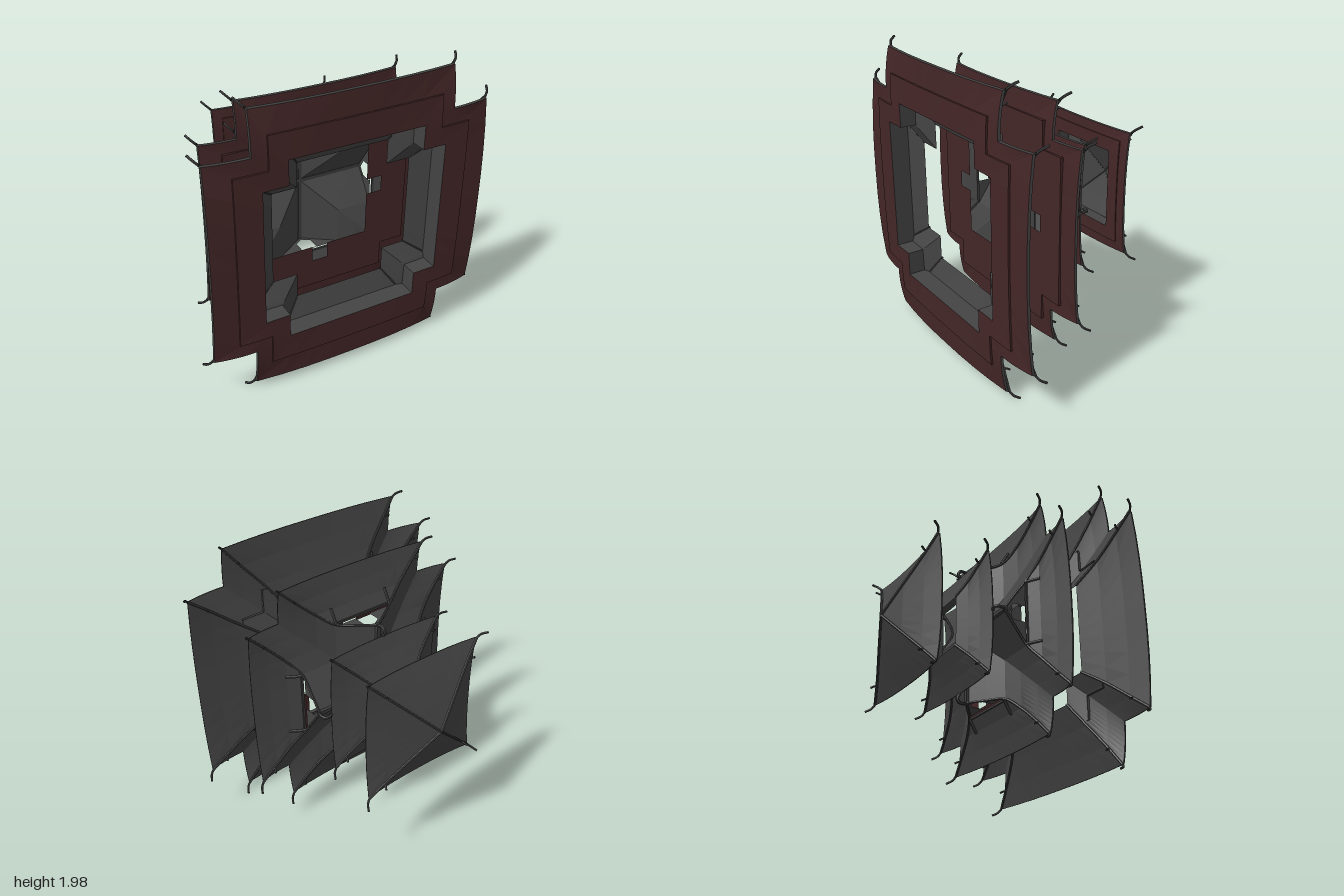
import * as THREE from 'three';

const mat = (name, color) => new THREE.MeshStandardMaterial({ name, color, side: THREE.DoubleSide, flatShading: true });
const P = (x, y, h) => new THREE.Vector3(x, y, -h); // roofs rise towards -z
const SEG = 8;

// Corners of a cross plan (arm length a, half width b) or of a square (a === b)
function corners(a, b, square) {
  const list = [];
  for (let k = 0; k < 4; k++) {
    const base = square ? [[a, a, 1]] : [[a, -b, 1], [a, b, 1], [b, b, 0]];
    for (const [x, y, convex] of base) {
      const c = [1, 0, -1, 0][k], s = [0, 1, 0, -1][k];
      list.push({ x: x * c - y * s, y: x * s + y * c, convex });
    }
  }
  return list;
}

// One ring of points whose outer corners sweep upwards by "lift"
function ring({ a, b, h, lift = 0 }, square) {
  const cs = corners(a, b, square), pts = [];
  cs.forEach((c, i) => {
    const d = cs[(i + 1) % cs.length];
    for (let j = 0; j < SEG; j++) {
      const t = j / SEG;
      let k = Math.abs(2 * t - 1) ** 2.5;
      if (!c.convex) k = t * t;
      else if (!d.convex) k = (1 - t) ** 2;
      const p = P(c.x + (d.x - c.x) * t, c.y + (d.y - c.y) * t, h + lift * k);
      p.gable = c.convex && d.convex;
      pts.push(p);
    }
  });
  return pts;
}

// Sheet joining successive rings; gable ends may be left open
function loft(defs, square) {
  const rings = defs.map(d => ring(d, square)), pos = [];
  for (let r = 0; r + 1 < rings.length; r++) {
    const A = rings[r], B = rings[r + 1], n = A.length;
    for (let i = 0; i < n; i++) {
      if (defs[r + 1].open && A[i].gable) continue;
      const j = (i + 1) % n;
      for (const p of [A[i], A[j], B[j], A[i], B[j], B[i]]) pos.push(p.x, p.y, p.z);
    }
  }
  const g = new THREE.BufferGeometry();
  g.setAttribute('position', new THREE.Float32BufferAttribute(pos, 3));
  g.computeVertexNormals();
  return g;
}

const R = (a, b, h, lift, open) => ({ a, b, h, lift, open });

export function createModel() {
  const model = new THREE.Group();
  model.name = 'tieredRoofs';
  const body = new THREE.Group();
  body.name = 'roofStack';
  body.position.y = 1;
  model.add(body);

  const tile = mat('roof grey', 0x444444);
  const trim = mat('ridge grey', 0x3e3e3e);
  const red = mat('soffit red', 0x442627);

  const add = (parent, name, geo, m) => {
    const mesh = new THREE.Mesh(geo, m);
    mesh.name = name;
    parent.add(mesh);
    return mesh;
  };
  const tube = (parent, name, pts, r) =>
    add(parent, name, new THREE.TubeGeometry(new THREE.CatmullRomCurve3(pts), 20, r, 6), trim);

  // Roof sheet, eave edge, soffit, hip ridges with upturned tips
  function tier(name, roof, soffit, square) {
    const g = new THREE.Group();
    g.name = name;
    body.add(g);
    add(g, 'roofSheet', loft(roof, square), tile);
    add(g, 'eaveEdge', loft([roof[0], soffit[0]], square), trim);
    add(g, 'soffit', loft(soffit, square), red);
    corners(1, 0.7, square).forEach((c, i) => {
      if (!c.convex) return;
      const hip = roof.map(d => {
        const q = corners(d.a, d.b, square)[i];
        return P(q.x, q.y, d.h + (d.lift || 0) + 0.006);
      });
      const sx = Math.sign(hip[0].x), sy = Math.sign(hip[0].y);
      const tip = (p, o, h) => P(p.x + sx * o, p.y + sy * o, -p.z + h);
      tube(g, 'hipRidge', hip, 0.009);
      tube(g, 'cornerTip', [hip[0], tip(hip[0], 0.022, 0.014), tip(hip[0], 0.043, 0.05)], 0.008);
      // small hook part of the way up the hip
      const m = hip[0].clone().lerp(hip[1], 0.8);
      tube(g, 'hipHook', [m, tip(m, 0.006, 0.018), tip(m, 0.016, 0.036)], 0.007);
    });
    return g;
  }

  // Lowest roof: cross plan with an open top
  const low = tier('lowestRoof',
    [R(0.94, 0.67, -0.645, 0.035), R(0.8, 0.56, -0.61, 0.02), R(0.64, 0.43, -0.56, 0.005), R(0.475, 0.31, -0.5)],
    [R(0.935, 0.665, -0.66, 0.035), R(0.78, 0.57, -0.665, 0.01), R(0.78, 0.57, -0.677, 0.01), R(0.61, 0.45, -0.677)]);
  add(low, 'innerWall', loft([R(0.61, 0.45, -0.677), R(0.61, 0.45, -0.55)]), tile);

  // Second roof: crossing gables above a flared skirt
  const mid = tier('gabledRoof',
    [R(0.79, 0.56, -0.205, 0.03), R(0.68, 0.45, -0.175, 0.015), R(0.57, 0.33, -0.135), R(0.485, 0.22, -0.09),
      R(0.475, 0.11, -0.015, 0, true), R(0.47, 0.0, 0.06, 0, true)],
    [R(0.785, 0.555, -0.218, 0.03), R(0.655, 0.48, -0.222, 0.01), R(0.655, 0.48, -0.232)]);
  const ceiling = new THREE.Shape(corners(0.655, 0.48).map(c => new THREE.Vector2(c.x, c.y)));
  const opening = [];
  for (let k = 0; k < 4; k++)
    for (const [x, y] of [[0.35, -0.055], [0.46, -0.055], [0.46, 0.055], [0.35, 0.055], [0.35, 0.35]])
      opening.push(new THREE.Vector2(x, y).rotateAround(new THREE.Vector2(), k * Math.PI / 2));
  ceiling.holes.push(new THREE.Path(opening));
  add(mid, 'ceiling', new THREE.ShapeGeometry(ceiling), red).position.z = 0.232;

  const V = (x, y) => new THREE.Vector2(x, y);
  const wall = new THREE.Shape([V(-0.22, -0.095), V(0.22, -0.095), V(0, 0.055)]);
  wall.holes.push(new THREE.Path([V(-0.055, -0.09), V(0.055, -0.09), V(0.055, -0.005), V(0, 0.03), V(-0.055, -0.005)]));
  const wallGeo = new THREE.ShapeGeometry(wall);
  const wp = wallGeo.attributes.position;
  for (let i = 0; i < wp.count; i++) wp.setXYZ(i, 0.465, wp.getX(i), -wp.getY(i));
  wallGeo.computeVertexNormals();

  for (let k = 0; k < 4; k++) {
    const arm = new THREE.Group();
    arm.name = 'gableArm';
    arm.rotation.z = k * Math.PI / 2;
    mid.add(arm);
    add(arm, 'gableWall', wallGeo, tile);
    add(arm, 'mainRidge', new THREE.BoxGeometry(0.48, 0.025, 0.025), trim).position.set(0.24, 0, -0.06);
    add(arm, 'gableSill', new THREE.BoxGeometry(0.015, 0.44, 0.012), trim).position.set(0.487, 0, 0.092);
    // curled ornament at the ridge end
    tube(arm, 'ridgeEnd', [P(0.468, 0, 0.05), P(0.478, 0, 0.09), P(0.472, 0, 0.122), P(0.445, 0, 0.13), P(0.42, 0, 0.115)], 0.011);
    for (const s of [-1, 1])
      tube(arm, 'rakeStub', [P(0.487, s * 0.215, -0.08), P(0.53, s * 0.215, -0.105), P(0.58, s * 0.215, -0.135)], 0.01);
  }

  // Third roof: square with an open top
  const S = (a, h, lift) => R(a, a, h, lift);
  const third = tier('thirdRoof',
    [S(0.42, 0.12, 0.025), S(0.33, 0.158, 0.012), S(0.25, 0.198), S(0.17, 0.24)],
    [S(0.415, 0.11, 0.025), S(0.35, 0.108, 0.01), S(0.35, 0.102, 0.01), S(0.26, 0.102)], true);
  add(third, 'innerWall', loft([S(0.26, 0.102), S(0.26, 0.19)], true), tile);

  // Top roof: pyramid with a hollow sweep
  const top = tier('topRoof',
    [S(0.43, 0.48, 0.025), S(0.31, 0.54, 0.008), S(0.16, 0.61), S(0.002, 0.675)],
    [S(0.425, 0.47, 0.025), S(0.36, 0.468, 0.01), S(0.36, 0.461, 0.01), S(0.27, 0.461)], true);
  add(top, 'innerWall', loft([S(0.27, 0.461), S(0.27, 0.55)], true), tile);

  return model;
}
